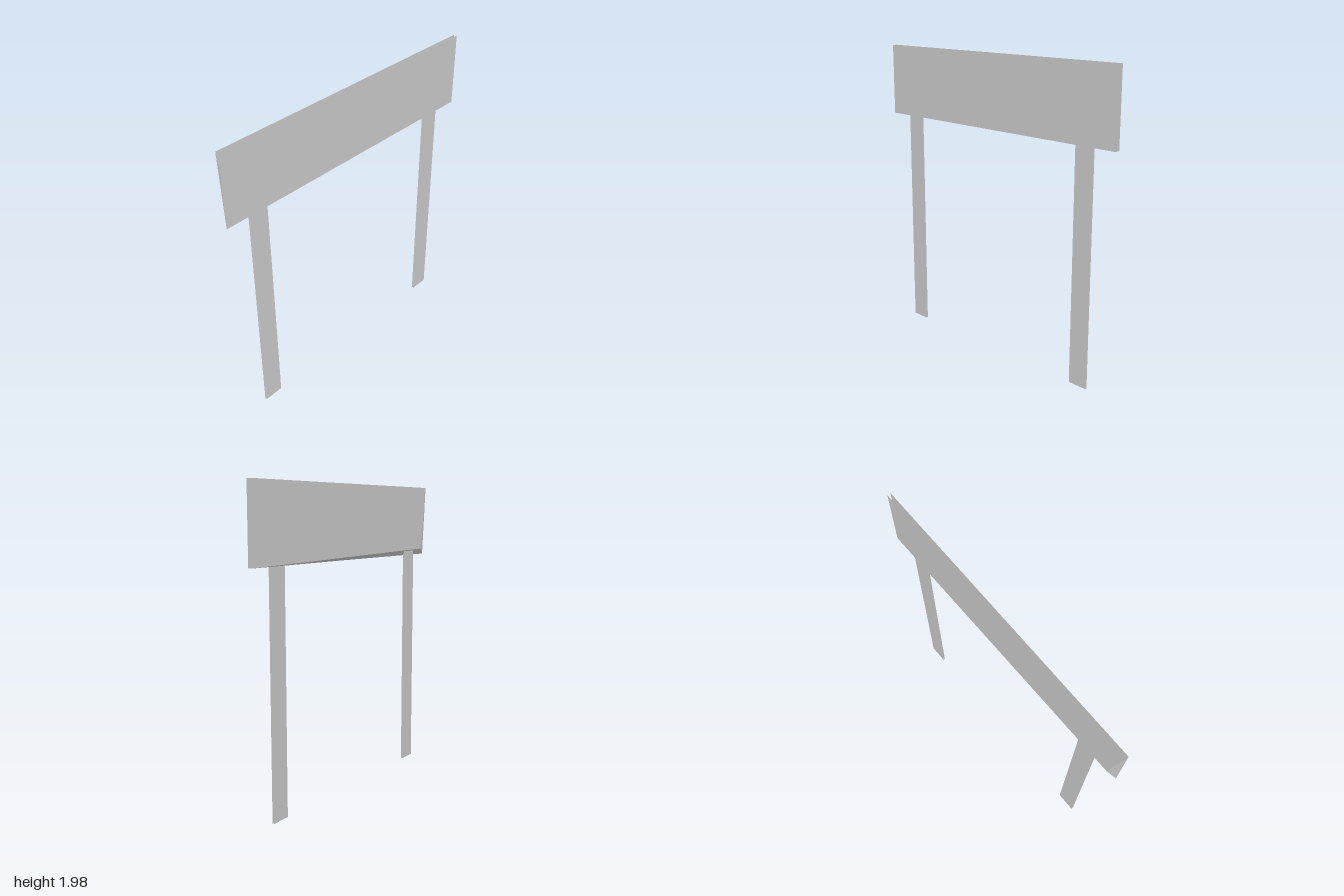
import * as THREE from 'three';

const material = new THREE.MeshStandardMaterial({
  color: 0xcccccc, flatShading: true, side: THREE.DoubleSide,
});

// Flat upright sheet spanning x0..x1 and y0..y1 at depth z
function sheet(name, x0, x1, y0, y1, z) {
  const geometry = new THREE.PlaneGeometry(x1 - x0, y1 - y0);
  geometry.translate((x0 + x1) / 2, (y0 + y1) / 2, z);
  const mesh = new THREE.Mesh(geometry, material);
  mesh.name = name;
  return mesh;
}

export function createModel() {
  const model = new THREE.Group();
  model.name = 'signboard';

  const front = 0.011, back = -0.011;
  const bottom = 1.5, top = 1.98;

  // Board: a front sheet and a separate back sheet with open edges
  const board = new THREE.Group();
  board.name = 'board';
  board.add(sheet('boardFront', -1, 1, bottom, top, front));

  // Back sheet, with its lower right corner folded towards the front sheet
  const corners = [
    [1, bottom, back],        // 0 lower left
    [1, top, back],           // 1 upper left
    [-1, top, back],          // 2 upper right
    [-0.94, 1.54, back],      // 3 inner point of the fold
    [-1, bottom, front],      // 4 folded corner
    [0, bottom, front],       // 5 middle of the folded bottom edge
  ];
  const faces = [[0, 3, 1], [3, 2, 1], [0, 5, 3], [5, 4, 3], [4, 2, 3]];
  const geometry = new THREE.BufferGeometry();
  geometry.setAttribute('position', new THREE.Float32BufferAttribute(
    faces.flat().flatMap((i) => corners[i]), 3));
  geometry.computeVertexNormals();
  const boardBack = new THREE.Mesh(geometry, material);
  boardBack.name = 'boardBack';
  board.add(boardBack);
  model.add(board);

  // Two posts, each a pair of close sheets reaching up behind the board
  for (const [name, x] of [['leftPost', 0.765], ['rightPost', -0.765]]) {
    const post = new THREE.Group();
    post.name = name;
    post.add(sheet('postFront', x - 0.067, x + 0.067, 0, 1.53, 0.005));
    post.add(sheet('postBack', x - 0.067, x + 0.067, 0, 1.53, -0.005));
    model.add(post);
  }
  return model;
}
